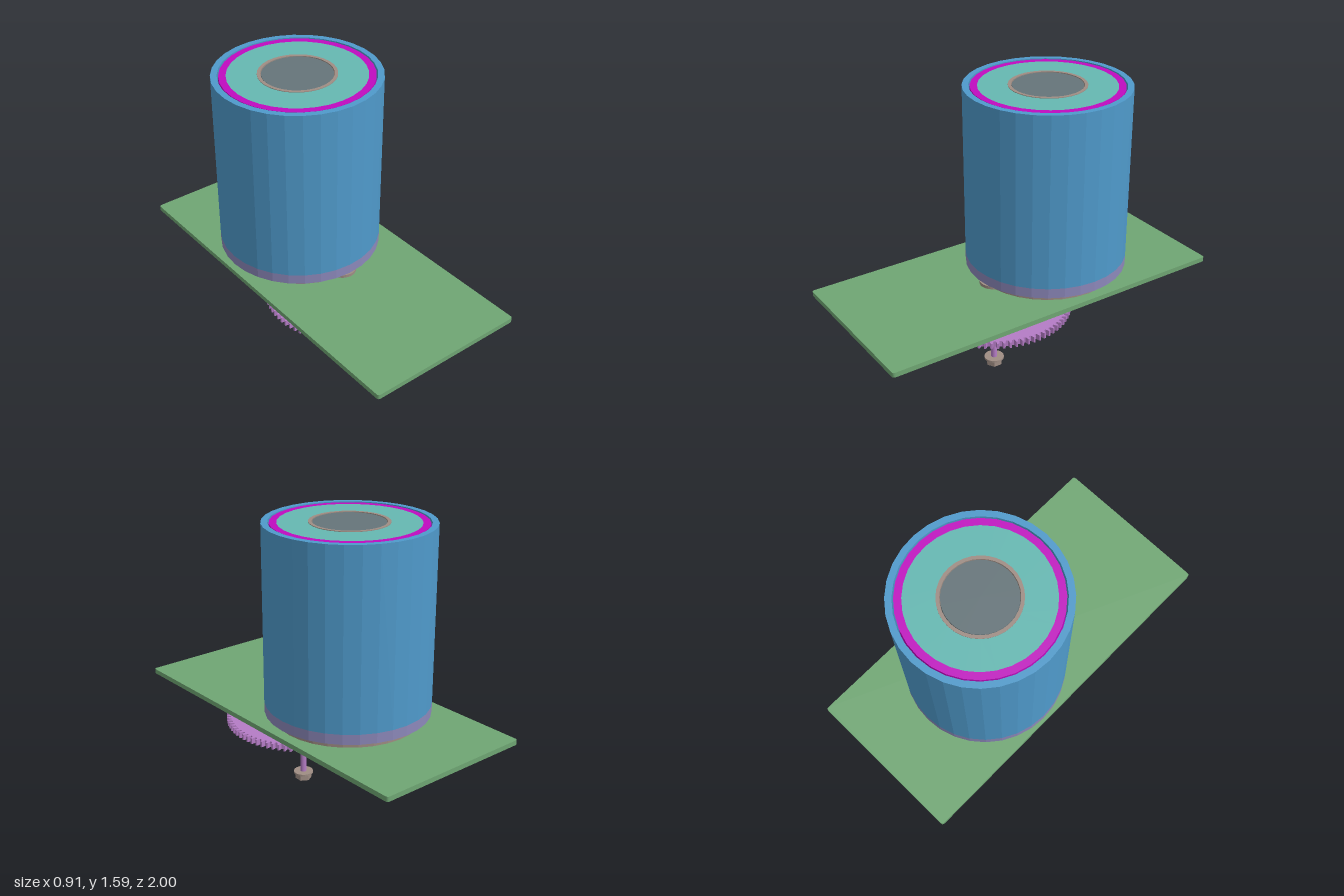
import * as THREE from 'three';

const mat = (name, color) => {
  const m = new THREE.MeshStandardMaterial({ color });
  m.name = name;
  return m;
};

export function createModel() {
  const model = new THREE.Group();
  model.name = 'motorAssembly';
  const blue = mat('blue', 0x4f9acb), green = mat('green', 0x6fa673);
  const magenta = mat('magenta', 0xc00cc0), teal = mat('teal', 0x65b8b2);
  const grey = mat('grey', 0x66757a), brown = mat('brown', 0x9f8d84);
  const purple = mat('purple', 0xb57cc6), lavender = mat('lavender', 0x8c88ba);

  const add = (name, geometry, material, x = 0, y = 0, z = 0, parent = model) => {
    const mesh = new THREE.Mesh(geometry, material);
    mesh.name = name;
    mesh.position.set(x, y, z);
    parent.add(mesh);
    return mesh;
  };
  // Faceted version of a geometry: one normal per face
  const facet = (geometry) => {
    const g = geometry.toNonIndexed();
    g.computeVertexNormals();
    return g;
  };
  // Solid disc between two heights
  const disc = (r, y0, y1, sides = 32) =>
    facet(new THREE.CylinderGeometry(r, r, y1 - y0, sides).translate(0, (y0 + y1) / 2, 0));
  // Hollow tube between two heights
  const ring = (inner, outer, y0, y1, sides = 32) => facet(new THREE.LatheGeometry(
    [[inner, y0], [outer, y0], [outer, y1], [inner, y1], [inner, y0]]
      .map(([r, y]) => new THREE.Vector2(r, y)), sides));
  // Extrude a shape upwards from y0 to y1
  const slab = (shape, y0, y1) =>
    new THREE.ExtrudeGeometry(shape, { depth: y1 - y0, bevelEnabled: false, curveSegments: 4 })
      .rotateX(-Math.PI / 2).translate(0, y0, 0);

  // Mounting plate with slightly rounded corners
  const w = 0.455, l = 1, c = 0.015;
  const plate = new THREE.Shape();
  plate.moveTo(-w + c, -l);
  plate.lineTo(w - c, -l);
  plate.quadraticCurveTo(w, -l, w, -l + c);
  plate.lineTo(w, l - c);
  plate.quadraticCurveTo(w, l, w - c, l);
  plate.lineTo(-w + c, l);
  plate.quadraticCurveTo(-w, l, -w, l - c);
  plate.lineTo(-w, -l + c);
  plate.quadraticCurveTo(-w, -l, -w + c, -l);
  add('mountingPlate', slab(plate, 0.5, 0.527), green);

  // Drum: nested sleeves around a solid core
  const drum = new THREE.Group();
  drum.name = 'drum';
  drum.position.set(0, 0, -0.213);
  model.add(drum);
  const top = 1.585;
  const part = (name, geometry, material) => add(name, geometry, material, 0, 0, 0, drum);
  part('drumFoot', disc(0.4, 0.527, 0.567), brown);
  part('drumBase', disc(0.445, 0.565, 0.62), lavender);
  part('outerShell', ring(0.411, 0.445, 0.62, top), blue);
  part('magnetSleeve', ring(0.366, 0.404, 0.62, top - 0.003), magenta);
  part('windingBody', ring(0.208, 0.366, 0.62, top - 0.003), teal);
  part('coreSleeve', ring(0.19, 0.208, 0.62, top), brown);
  part('core', disc(0.187, 0.62, top - 0.003), grey);

  // Centre fastener and pins under the plate
  part('fastenerFlange', disc(0.036, 0.484, 0.5, 24), brown);
  part('fastenerNut', disc(0.025, 0.46, 0.484, 6), brown);
  for (const x of [0.2, 0.31]) add('pin', disc(0.004, 0.484, 0.5, 8), brown, x, 0, -0.2);

  // Drive shaft with bearing, gear and end nut
  const drive = new THREE.Group();
  drive.name = 'drive';
  drive.position.set(0.017, 0, 0.146);
  model.add(drive);
  const drivePart = (name, geometry, material) => add(name, geometry, material, 0, 0, 0, drive);
  drivePart('shaft', disc(0.017, 0.02, 0.555, 20), purple);
  drivePart('bearingFlange', disc(0.075, 0.527, 0.544), brown);
  drivePart('bearing', disc(0.055, 0.544, 0.556), brown);
  drivePart('gearHub', disc(0.045, 0.342, 0.382, 24), purple);
  drivePart('endNutFlange', disc(0.055, 0.034, 0.045, 24), brown);
  drivePart('endNut', disc(0.046, 0, 0.034, 6), brown);

  // Spur gear outline, four points per tooth
  const teeth = 80, gear = [];
  for (let i = 0; i < teeth; i++) {
    for (const [r, t] of [[0.404, 0], [0.427, 0.17], [0.427, 0.45], [0.404, 0.62]]) {
      const a = ((i + t) / teeth) * Math.PI * 2;
      gear.push(new THREE.Vector2(r * Math.cos(a), r * Math.sin(a)));
    }
  }
  drivePart('gear', slab(new THREE.Shape(gear), 0.381, 0.414), purple);

  return model;
}
